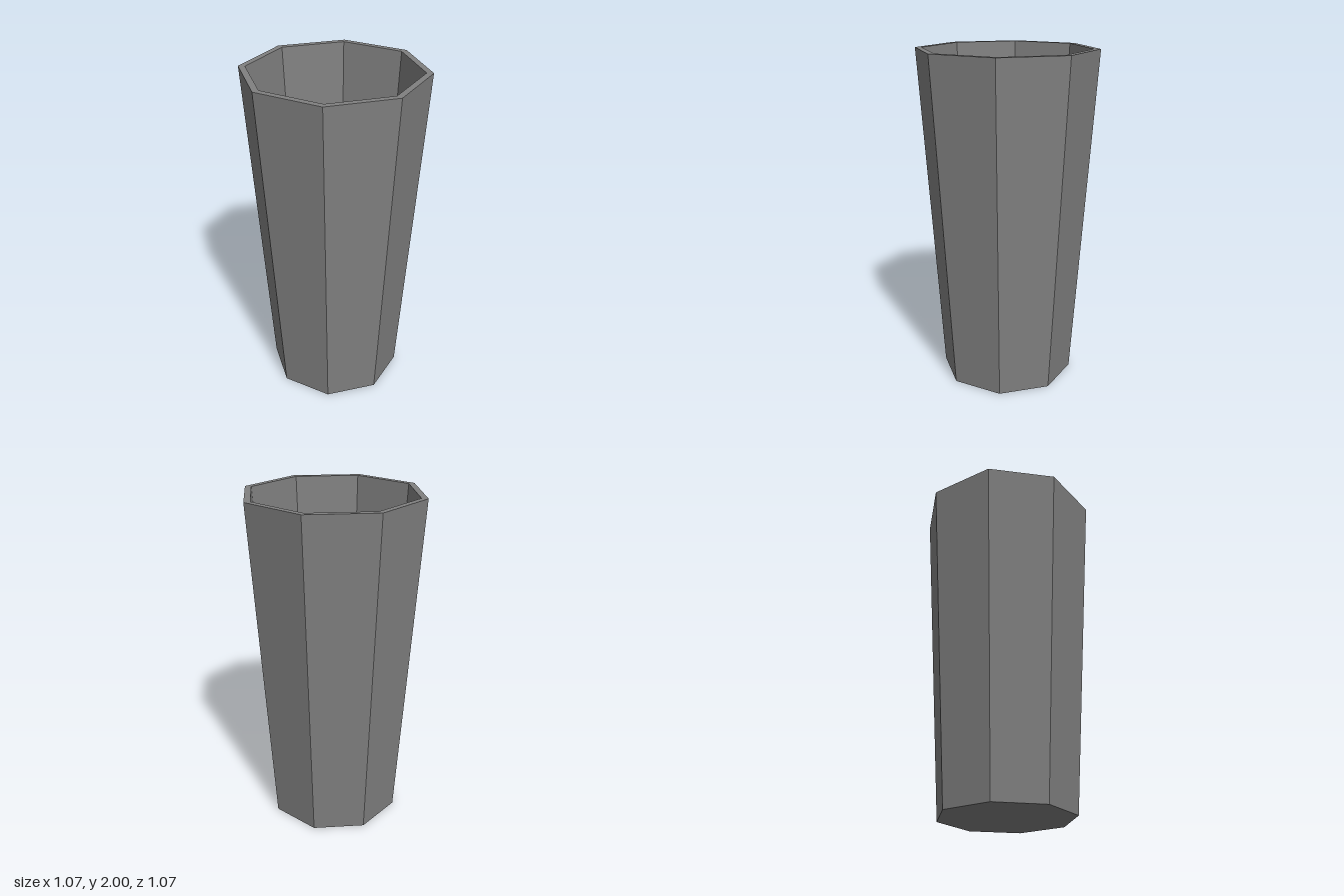
import * as THREE from 'three';

const SIDES = 8;

// Faceted solid of revolution, with corners on the x and z axes
function facetedLathe(profile) {
  const points = profile.map(([r, y]) => new THREE.Vector2(r, y));
  const geometry = new THREE.LatheGeometry(points, SIDES).toNonIndexed();
  geometry.computeVertexNormals();
  return geometry;
}

export function createModel() {
  const group = new THREE.Group();
  group.name = 'taperedCup';

  const grey = new THREE.MeshStandardMaterial({ color: 0x808080 });
  grey.name = 'grey';

  const parts = {
    // Underside and tapered outer wall
    outerShell: [[0, 0], [0.402, 0], [0.533, 2]],
    // Flat ring around the opening
    rim: [[0.533, 2], [0.494, 2]],
    // Inner wall running down to the floor
    innerShell: [[0.494, 2], [0.376, 0.12], [0, 0.12]],
  };

  for (const [name, profile] of Object.entries(parts)) {
    const mesh = new THREE.Mesh(facetedLathe(profile), grey);
    mesh.name = name;
    group.add(mesh);
  }
  return group;
}
